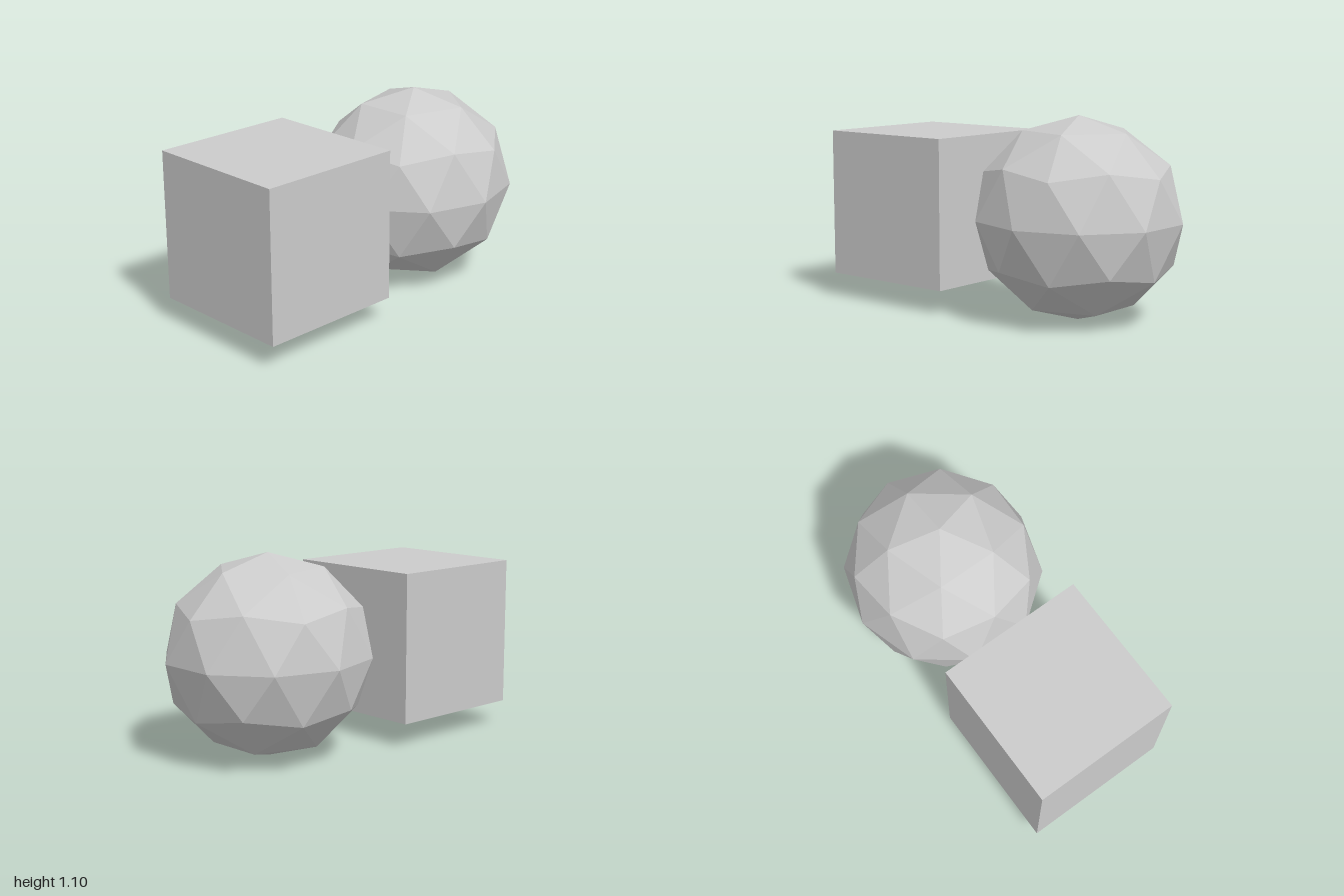
import * as THREE from 'three';

export function createModel() {
  const model = new THREE.Group();
  const material = new THREE.MeshStandardMaterial({ color: 0xcccccc, flatShading: true });
  const centreY = 0.5485;

  const add = (name, geometry, x) => {
    const mesh = new THREE.Mesh(geometry, material);
    mesh.name = name;
    mesh.position.set(x, centreY, 0);
    model.add(mesh);
  };

  // Cube
  add('cube', new THREE.BoxGeometry(0.828, 0.828, 0.828), -0.586);

  // Faceted ball: one corner turned straight up, then widened in x so all three extents match
  const radius = 0.5485;
  const ball = new THREE.IcosahedronGeometry(radius, 1);
  const golden = (1 + Math.sqrt(5)) / 2;
  ball.rotateZ(-Math.atan(1 / golden));
  ball.scale(1 / Math.cos(Math.PI / 10), 1, 1);
  ball.computeVertexNormals();
  add('facetedBall', ball, 1 - radius);

  return model;
}
